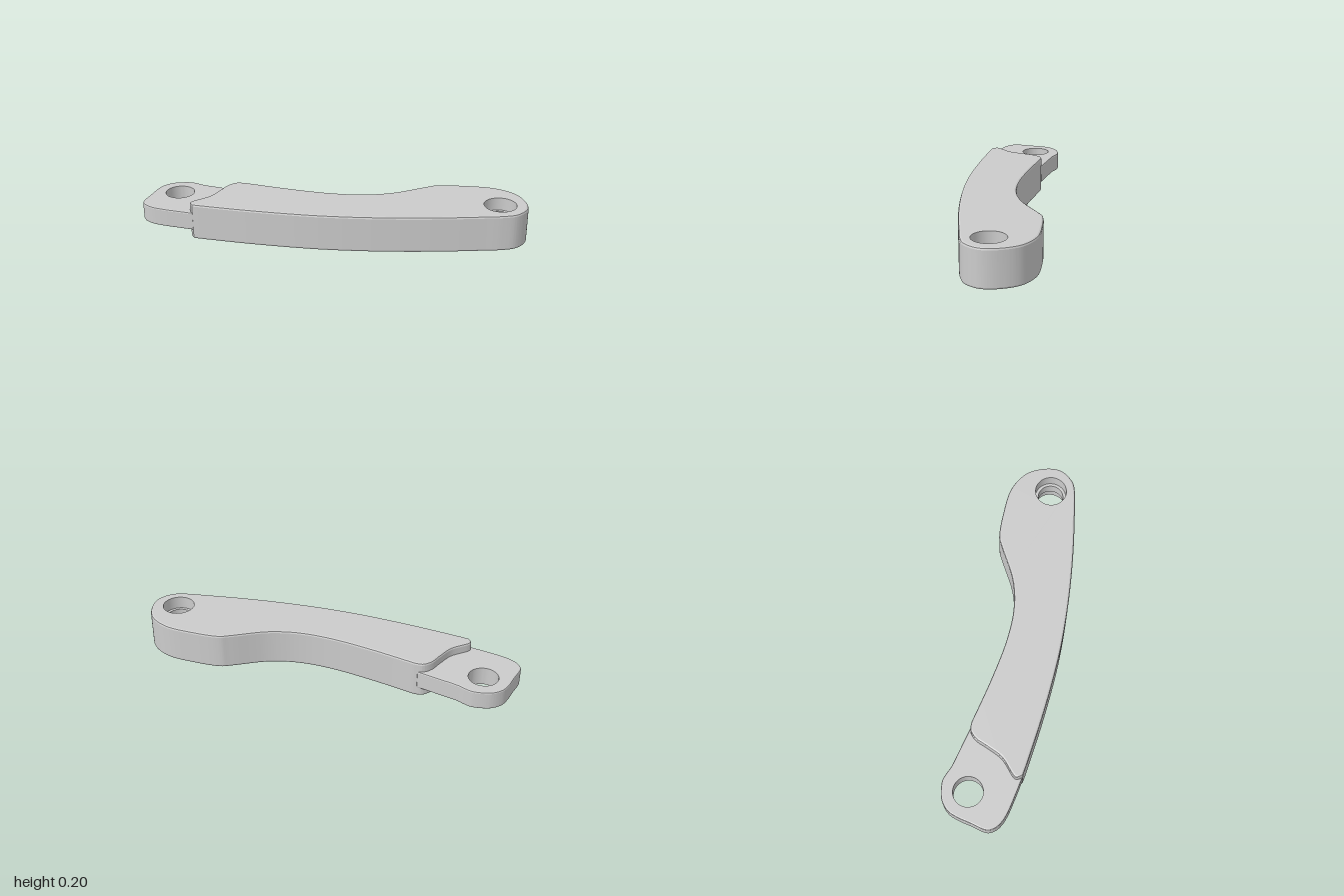
import * as THREE from 'three';
import { toCreasedNormals } from 'three/addons/utils/BufferGeometryUtils.js';

const material = new THREE.MeshStandardMaterial({ color: 0xcccccc });

// Closed outline from runs of points: each run is a smooth curve, runs meet in corners.
function outline(runs) {
  const shape = new THREE.Shape();
  shape.moveTo(...runs[0][0]);
  for (const run of runs) {
    const pts = run.map(([x, y]) => new THREE.Vector2(x, y));
    if (pts.length === 2) shape.lineTo(pts[1].x, pts[1].y);
    else shape.splineThru(pts.slice(1));
  }
  return shape;
}

// Flat plate with rounded outer edges and a straight round hole, lying from y0 to y1.
function plate(name, runs, hole, y0, y1, bevel) {
  const shape = outline(runs);
  const bore = new THREE.Path();
  bore.absarc(hole.x, hole.y, hole.r, 0, Math.PI * 2, true);
  shape.holes.push(bore);
  const geo = new THREE.ExtrudeGeometry(shape, {
    depth: y1 - y0 - 2 * bevel, curveSegments: 24,
    bevelEnabled: true, bevelThickness: bevel, bevelSize: bevel, bevelOffset: -bevel, bevelSegments: 2,
  });
  // keep the bore straight: pull its bevelled rim back to the bore radius
  const pos = geo.attributes.position;
  for (let i = 0; i < pos.count; i++) {
    const dx = pos.getX(i) - hole.x, dy = pos.getY(i) - hole.y;
    const d = Math.hypot(dx, dy);
    if (d < hole.r + 0.02) pos.setXY(i, hole.x + dx * hole.r / d, hole.y + dy * hole.r / d);
  }
  geo.translate(0, 0, y0 + bevel);
  geo.rotateX(-Math.PI / 2);
  const mesh = new THREE.Mesh(toCreasedNormals(geo, 0.35), material);
  mesh.name = name;
  return mesh;
}

export function createModel() {
  const group = new THREE.Group();
  group.name = 'curvedLinkArm';

  // Thick curved arm (outline seen from above, y pointing to the back)
  const armHole = { x: 0.855, y: 0.15, r: 0.086 };
  group.add(plate('arm', [
    [[-0.68, -0.354], [-0.6, -0.348], [-0.4, -0.328], [-0.2, -0.302], [0, -0.268], [0.2, -0.221],
      [0.4, -0.163], [0.6, -0.095], [0.8, -0.018], [0.9, 0.023], [0.965, 0.068], [1, 0.15],
      [0.975, 0.24], [0.9, 0.325], [0.775, 0.36], [0.62, 0.338], [0.49, 0.303], [0.43, 0.26],
      [0.3, 0.145], [0.2, 0.085], [0.1, 0.047], [0, 0.025], [-0.12, 0.01], [-0.28, 0.002], [-0.4, 0], [-0.53, 0]],
    [[-0.53, 0], [-0.575, -0.014], [-0.605, -0.06], [-0.618, -0.13], [-0.64, -0.22], [-0.698, -0.305],
      [-0.702, -0.332], [-0.68, -0.354]],
  ], armHole, 0, 0.2, 0.011));

  // Thinner end tongue, running into the arm
  group.add(plate('tongue', [
    [[-0.5, -0.04], [-0.55, -0.002]],
    [[-0.55, -0.002], [-0.65, 0], [-0.77, 0.002], [-0.82, 0.011], [-0.87, 0.012], [-0.945, -0.02],
      [-0.988, -0.072], [-1, -0.13], [-1, -0.21], [-1, -0.29], [-0.975, -0.328], [-0.93, -0.35],
      [-0.87, -0.358], [-0.78, -0.357], [-0.66, -0.352]],
    [[-0.66, -0.352], [-0.55, -0.32]],
    [[-0.55, -0.32], [-0.5, -0.04]],
  ], { x: -0.86, y: -0.13, r: 0.078 }, 0.05, 0.15, 0.008));

  // Narrow lip halfway down the arm's bore
  const lipProfile = [[0.088, 0.07], [0.07, 0.07], [0.07, 0.13], [0.088, 0.13]]
    .map(([r, y]) => new THREE.Vector2(r, y));
  const lipGeo = toCreasedNormals(new THREE.LatheGeometry(lipProfile, 48), 0.5);
  const lip = new THREE.Mesh(lipGeo, new THREE.MeshStandardMaterial({ color: 0xcccccc, side: THREE.DoubleSide }));
  // profile runs clockwise, so reverse the winding to face into the bore
  const p = lipGeo.attributes.position, n = lipGeo.attributes.normal;
  const q = new THREE.Vector3(), m = new THREE.Vector3();
  m.fromBufferAttribute(n, 0);
  q.fromBufferAttribute(p, 0);
  if (q.y < 0.1 && m.y > 0) lipGeo.scale(1, -1, 1).translate(0, 0.2, 0);
  lip.position.set(armHole.x, 0, -armHole.y);
  lip.name = 'boreLip';
  group.add(lip);

  return group;
}
